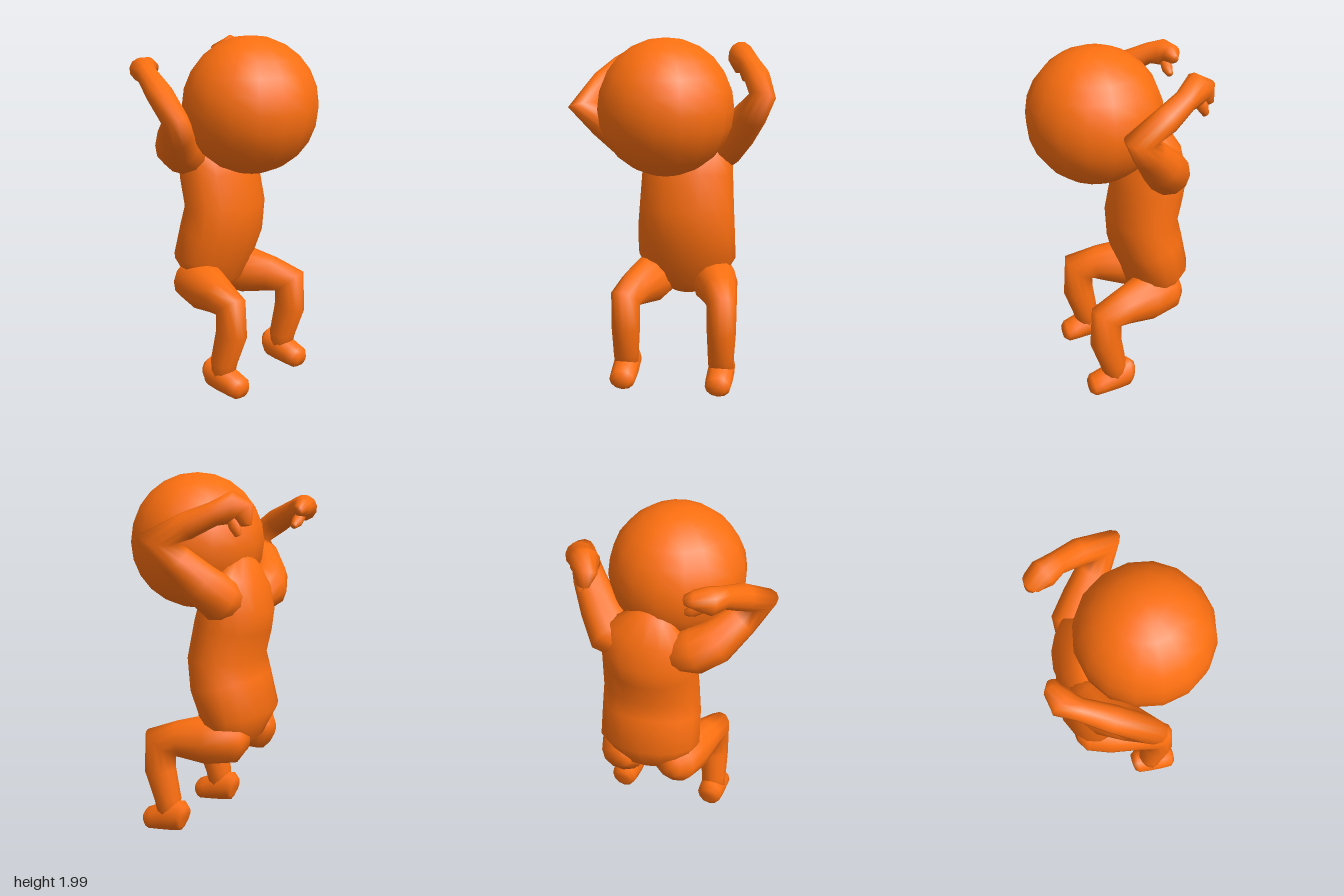
import * as THREE from 'three';

const material = new THREE.MeshStandardMaterial({ color: 0xff7010 });

// Closed smooth loft through stations [x, y, z, r1, r2]; rings are mitred at bends.
function loft(name, stations, ref, sides = 12) {
  const P = stations.map(s => new THREE.Vector3(s[0], s[1], s[2]));
  const up = new THREE.Vector3(...ref).normalize();
  const n = P.length, pos = [], index = [];
  for (let i = 0; i < n; i++) {
    const a = P[i].clone().sub(P[Math.max(i - 1, 0)]).normalize();
    const b = P[Math.min(i + 1, n - 1)].clone().sub(P[i]).normalize();
    const t = a.clone().add(b).normalize();
    const inner = i > 0 && i < n - 1;
    const bend = inner ? b.clone().sub(a) : new THREE.Vector3();
    const stretch = inner ? Math.min(1 / Math.max(a.dot(t), 0.1), 1.4) - 1 : 0;
    bend.normalize();
    const u = up.clone().cross(t).normalize();
    const v = t.clone().cross(u);
    const [, , , r1, r2 = r1] = stations[i];
    for (let j = 0; j < sides; j++) {
      const w = j / sides * Math.PI * 2;
      const o = u.clone().multiplyScalar(Math.cos(w) * r1).addScaledVector(v, Math.sin(w) * r2);
      o.addScaledVector(bend, o.dot(bend) * stretch).add(P[i]);
      pos.push(o.x, o.y, o.z);
    }
  }
  for (let i = 0; i < n - 1; i++) {
    for (let j = 0; j < sides; j++) {
      const k = (j + 1) % sides, a = i * sides, b = a + sides;
      index.push(a + j, a + k, b + j, a + k, b + k, b + j);
    }
  }
  // End caps
  const last = (n - 1) * sides, c0 = n * sides, c1 = c0 + 1;
  pos.push(...P[0].toArray(), ...P[n - 1].toArray());
  for (let j = 0; j < sides; j++) {
    const k = (j + 1) % sides;
    index.push(c0, k, j, c1, last + j, last + k);
  }
  const g = new THREE.BufferGeometry();
  g.setAttribute('position', new THREE.Float32BufferAttribute(pos, 3));
  g.setIndex(index);
  g.computeVertexNormals();
  const mesh = new THREE.Mesh(g, material);
  mesh.name = name;
  return mesh;
}

// Bent leg and wedge foot; hip and knee give the x offsets
function leg(side, hipX, kneeX, footX) {
  const g = new THREE.Group();
  g.name = side + 'Leg';
  g.add(loft(side + 'ThighAndShin', [
    [hipX, 0.59, -0.33, 0.06],
    [hipX, 0.58, -0.27, 0.125],
    [hipX + (kneeX - hipX) * 0.35, 0.57, -0.12, 0.14, 0.13],
    [hipX + (kneeX - hipX) * 0.75, 0.56, 0.03, 0.105, 0.1],
    [kneeX, 0.53, 0.14, 0.085, 0.084],
    [kneeX, 0.37, 0.145, 0.09, 0.083],
    [footX, 0.2, 0.1, 0.075, 0.075],
    [footX, 0.09, 0.09, 0.06, 0.07],
  ], [1, 0, 0]));
  g.add(loft(side + 'Foot', [
    [footX, 0.115, -0.012, 0.055, 0.062],
    [footX, 0.12, 0.01, 0.072, 0.085],
    [footX, 0.105, 0.09, 0.078, 0.085],
    [footX, 0.08, 0.17, 0.077, 0.07],
    [footX, 0.067, 0.22, 0.073, 0.062],
    [footX, 0.065, 0.245, 0.045, 0.04],
  ], [0, 1, 0]));
  return g;
}

function arm(side, path, thumb, ref) {
  const g = new THREE.Group();
  g.name = side + 'Arm';
  g.add(loft(side + 'ArmAndHand', path, ref));
  g.add(loft(side + 'Thumb', thumb, ref, 8));
  return g;
}

export function createModel() {
  const model = new THREE.Group();
  model.name = 'figure';

  // Round oversized head
  const head = new THREE.Mesh(new THREE.SphereGeometry(0.374, 16, 12), material);
  head.name = 'head';
  head.position.set(-0.01, 1.626, 0.1);
  model.add(head);

  // Torso with neck
  model.add(loft('torso', [
    [0.045, 0.5, -0.2, 0.08, 0.06],
    [0.05, 0.57, -0.195, 0.21, 0.13],
    [0.055, 0.71, -0.215, 0.29, 0.185],
    [0.06, 0.88, -0.163, 0.285, 0.203],
    [0.065, 1.02, -0.143, 0.275, 0.192],
    [0.062, 1.2, -0.18, 0.265, 0.198],
    [0.06, 1.3, -0.2, 0.262, 0.188],
    [0.045, 1.42, -0.215, 0.24, 0.135],
    [0.02, 1.5, -0.2, 0.13, 0.09],
    [0, 1.57, -0.13, 0.08, 0.07],
  ], [0, 0, 1], 16));

  // Arms raised with hands behind the head
  model.add(arm('right', [
    [-0.08, 1.33, -0.23, 0.1],
    [-0.2, 1.36, -0.22, 0.13],
    [-0.3, 1.41, -0.18, 0.12],
    [-0.41, 1.51, -0.09, 0.095],
    [-0.5, 1.605, -0.015, 0.07],
    [-0.43, 1.71, -0.18, 0.072],
    [-0.365, 1.79, -0.33, 0.058],
    [-0.32, 1.805, -0.4, 0.072],
    [-0.25, 1.815, -0.425, 0.05],
    [-0.205, 1.8, -0.42, 0.03],
  ], [
    [-0.31, 1.78, -0.4, 0.03],
    [-0.24, 1.735, -0.4, 0.032],
    [-0.2, 1.715, -0.4, 0.018],
  ], [-0.8, -0.4, -0.6]));
  model.add(arm('left', [
    [0.17, 1.33, -0.23, 0.1],
    [0.27, 1.37, -0.21, 0.125],
    [0.35, 1.46, -0.14, 0.11],
    [0.44, 1.58, -0.05, 0.09],
    [0.505, 1.69, 0.025, 0.07],
    [0.46, 1.765, -0.13, 0.072],
    [0.4, 1.825, -0.25, 0.062],
    [0.345, 1.86, -0.33, 0.078],
    [0.325, 1.835, -0.385, 0.06],
    [0.335, 1.77, -0.4, 0.035],
  ], [
    [0.36, 1.83, -0.33, 0.03],
    [0.365, 1.765, -0.36, 0.032],
    [0.365, 1.72, -0.38, 0.018],
  ], [-0.8, 0.3, 0.5]));

  // Crouching legs
  model.add(leg('right', -0.1, -0.235, -0.245));
  model.add(leg('left', 0.2, 0.315, 0.308));
  return model;
}
